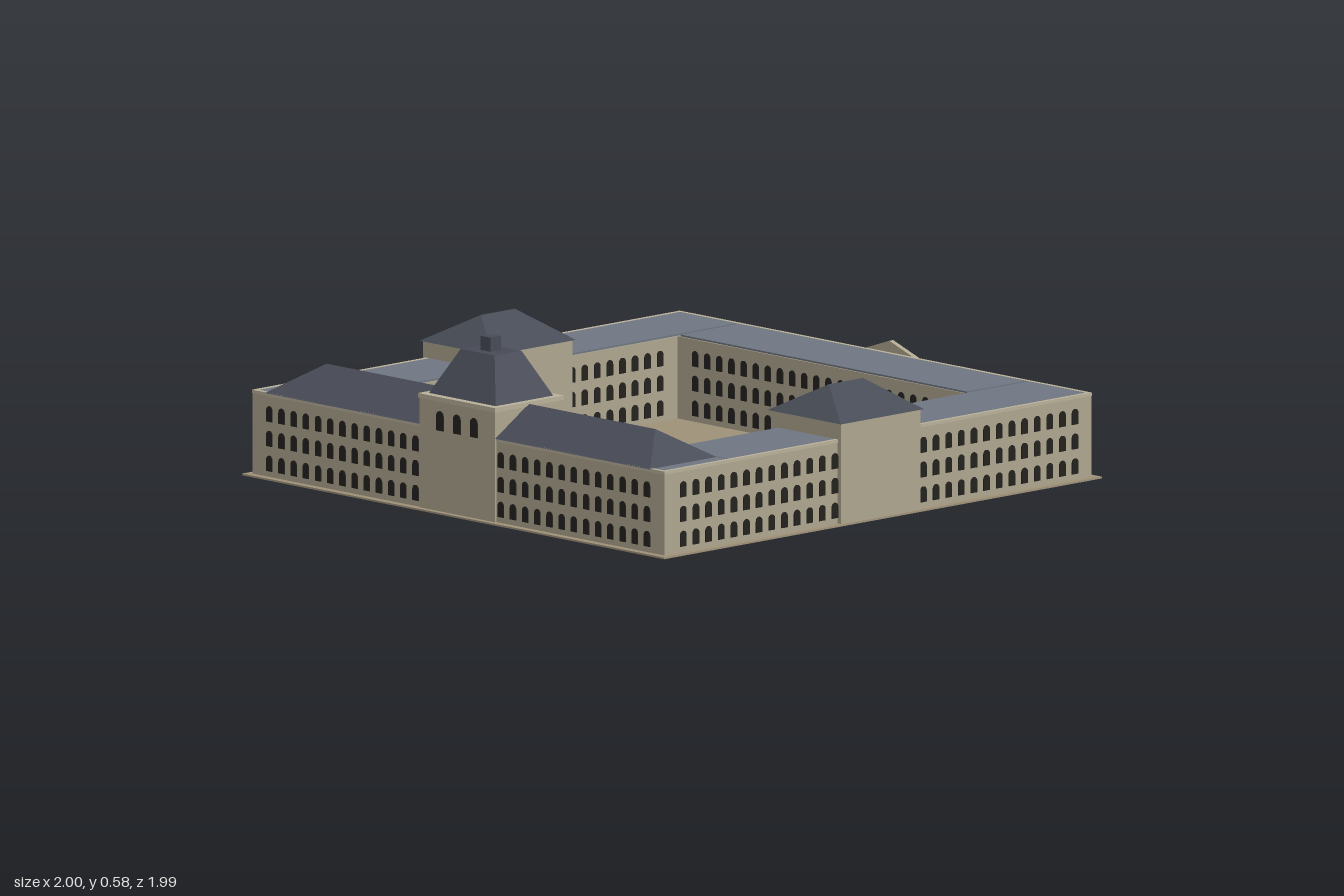
import * as THREE from 'three';
import { mergeGeometries } from 'three/addons/utils/BufferGeometryUtils.js';

const mat = (color) => new THREE.MeshStandardMaterial({ color });
const stone = mat(0xb0a890), ground = mat(0xa0937a), trim = mat(0xbab29c);
const flatRoof = mat(0x717884), darkRoof = mat(0x484c57), glass = mat(0x24221f);

// Box given by its min and max on each axis
function block(parent, name, material, [x0, x1], [y0, y1], [z0, z1]) {
  const mesh = new THREE.Mesh(new THREE.BoxGeometry(x1 - x0, y1 - y0, z1 - z0), material);
  mesh.position.set((x0 + x1) / 2, (y0 + y1) / 2, (z0 + z1) / 2);
  mesh.name = name;
  parent.add(mesh);
  return mesh;
}

// Box whose top face shrinks to topX by topZ (0 gives a ridge)
function taperedRoof(parent, name, xs, ys, zs, topX, topZ) {
  const mesh = block(parent, name, darkRoof, xs, ys, zs);
  const geo = mesh.geometry.toNonIndexed();
  const pos = geo.attributes.position;
  for (let i = 0; i < pos.count; i++) {
    if (pos.getY(i) > 0) {
      pos.setX(i, Math.sign(pos.getX(i)) * topX / 2);
      pos.setZ(i, Math.sign(pos.getZ(i)) * topZ / 2);
    }
  }
  geo.computeVertexNormals();
  mesh.geometry = geo;
}

// Round-headed window, sill at the origin, facing +z
function windowGeometry(w, h) {
  const s = new THREE.Shape();
  s.moveTo(-w / 2, 0);
  s.lineTo(w / 2, 0);
  s.lineTo(w / 2, h - w / 2);
  s.absarc(0, h - w / 2, w / 2, 0, Math.PI, false);
  s.closePath();
  return new THREE.ExtrudeGeometry(s, { depth: 0.006, bevelEnabled: false, curveSegments: 6 });
}

// Windows at the given offsets and sill heights on a wall turned by angle
function windowWall(parent, name, geo, offsets, sills, distance, angle) {
  const parts = [];
  for (const y of sills) {
    for (const u of offsets) parts.push(geo.clone().translate(u, y, distance - 0.003));
  }
  const mesh = new THREE.Mesh(mergeGeometries(parts), glass);
  mesh.rotation.y = angle;
  mesh.name = name;
  parent.add(mesh);
}

// Evenly spaced offsets, leaving out a gap around the middle
function spaced(count, from, to, gap = 0) {
  return Array.from({ length: count }, (_, i) => from + (to - from) * i / (count - 1))
    .filter((u) => Math.abs(u) > gap);
}

export function createModel() {
  const model = new THREE.Group();
  const H = 0.28;
  block(model, 'ground', ground, [-1, 0.99], [0, 0.006], [-0.995, 0.995]);

  // Four wings around the courtyard
  const wings = new THREE.Group();
  wings.name = 'wings';
  model.add(wings);
  block(wings, 'westWing', stone, [-0.975, -0.675], [0.004, H], [-0.97, 0.97]);
  block(wings, 'eastWing', stone, [0.68, 0.965], [0.004, H], [-0.685, 0.685]);
  block(wings, 'eastRoof', flatRoof, [0.685, 0.95], [H - 0.01, H + 0.006], [-0.675, 0.675]);
  for (const s of [-1, 1]) {
    const span = (a, b) => (s > 0 ? [a, b] : [-b, -a]);
    block(wings, 'sideWing', stone, [-0.675, 0.965], [0.004, H], span(0.685, 0.97));
    block(wings, 'sideRoof', flatRoof, [-0.675, 0.95], [H - 0.01, H + 0.006], span(0.69, 0.955));
    block(wings, 'sideParapet', trim, [-0.975, 0.967], [H - 0.005, H + 0.006], span(0.957, 0.972));
    block(wings, 'endRoof', flatRoof, [-0.96, -0.675], [H - 0.01, H + 0.005], span(0.9, 0.955));

    // Pavilion in the middle of each side wing
    block(model, 'pavilion', stone, [-0.187, 0.175], [0.004, 0.34], span(0.655, 0.985));
    taperedRoof(model, 'pavilionRoof', [-0.195, 0.183], [0.34, 0.435], span(0.648, 0.993), 0.155, 0);
  }
  for (const [a, b] of [[-0.977, -0.962], [0.952, 0.967]]) {
    block(wings, 'endParapet', trim, [a, b], [H - 0.005, H + 0.006], [-0.972, 0.972]);
  }

  // Hipped roof over the west wing
  taperedRoof(model, 'westRoof', [-0.98, -0.675], [0.284, 0.38], [-0.908, 0.908], 0, 1.55);

  // Tower with its steep roof and cupola
  const tower = new THREE.Group();
  tower.name = 'tower';
  model.add(tower);
  block(tower, 'towerBody', stone, [-0.981, -0.673], [0.004, 0.375], [-0.178, 0.178]);
  block(tower, 'towerCornice', trim, [-0.984, -0.67], [0.372, 0.387], [-0.181, 0.181]);
  taperedRoof(tower, 'towerRoof', [-0.958, -0.696], [0.386, 0.535], [-0.158, 0.158], 0.122, 0.16);
  block(tower, 'cupola', darkRoof, [-0.852, -0.804], [0.535, 0.582], [-0.024, 0.024]);

  // Window rows on the outer and courtyard walls
  const win = windowGeometry(0.028, 0.052);
  const rows = [0.025, 0.108, 0.19];
  const outer = spaced(32, -0.89, 0.89, 0.2);
  const inner = spaced(22, -0.6, 0.6, 0.2);
  windowWall(model, 'frontWindows', win, outer, rows, 0.97, 0);
  windowWall(model, 'backWindows', win, outer, rows, 0.97, Math.PI);
  windowWall(model, 'westWindows', win, outer, rows, 0.975, -Math.PI / 2);
  windowWall(model, 'courtBackWindows', win, inner, rows, -0.685, 0);
  windowWall(model, 'courtFrontWindows', win, inner, rows, -0.685, Math.PI);
  windowWall(model, 'courtWestWindows', win, inner, rows, -0.675, Math.PI / 2);
  windowWall(model, 'courtEastWindows', win, spaced(22, -0.6, 0.6), rows, -0.68, -Math.PI / 2);
  windowWall(tower, 'towerWindows', windowGeometry(0.034, 0.065), [-0.08, 0, 0.08], [0.275], 0.981, -Math.PI / 2);

  // Colonnade on the east side
  const colonnade = new THREE.Group();
  colonnade.name = 'colonnade';
  model.add(colonnade);
  block(colonnade, 'colonnadeBase', stone, [0.96, 0.988], [0.004, 0.105], [-0.908, 0.908]);
  block(colonnade, 'entablature', trim, [0.96, 0.996], [0.243, 0.266], [-0.908, 0.908]);
  const columnGeo = new THREE.CylinderGeometry(0.0085, 0.0095, 0.14, 12);
  for (const s of [-1, 1]) {
    for (let i = 0; i < 10; i++) {
      const z = s * (0.175 + i * 0.0785);
      const column = new THREE.Mesh(columnGeo, trim);
      column.position.set(0.978, 0.174, z);
      column.name = 'column';
      colonnade.add(column);
      block(colonnade, 'tallWindow', glass, [0.96, 0.967], [0.112, 0.24], [z - 0.017, z + 0.017]);
    }
  }

  // Gabled centrepiece
  const gable = new THREE.Shape([[-0.13, 0.004], [0.13, 0.004], [0.13, 0.275], [0, 0.32], [-0.13, 0.275]]
    .map(([u, v]) => new THREE.Vector2(u, v)));
  const front = new THREE.Mesh(new THREE.ExtrudeGeometry(gable, { depth: 0.018, bevelEnabled: false }), stone);
  front.rotation.y = Math.PI / 2;
  front.position.x = 0.982;
  front.name = 'gable';
  model.add(front);
  block(model, 'gableBlock', stone, [0.96, 0.985], [0.004, 0.27], [-0.13, 0.13]);
  return model;
}
